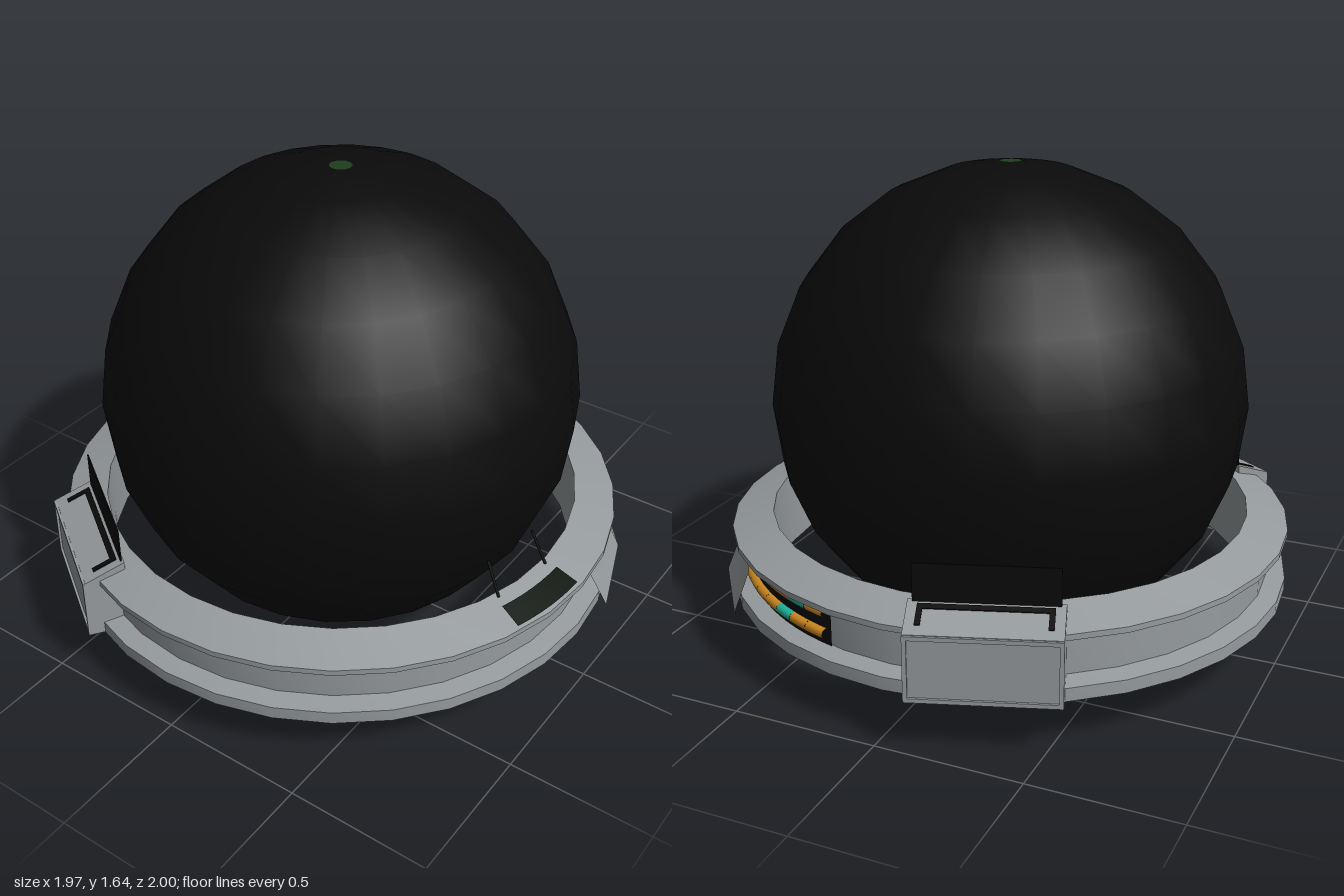
import * as THREE from 'three';
import { toCreasedNormals } from 'three/addons/utils/BufferGeometryUtils.js';

const deg = THREE.MathUtils.degToRad;
const V2 = (x, y) => new THREE.Vector2(x, y);
// Point on a circle about the y axis; the angle runs from +z towards +x.
const polar = (r, a, y) => new THREE.Vector3(r * Math.sin(deg(a)), y, r * Math.cos(deg(a)));

function makeMaterial(name, color, double = false) {
  const m = new THREE.MeshStandardMaterial({ color });
  m.name = name;
  if (double) m.side = THREE.DoubleSide;
  return m;
}

export function createModel() {
  const grey = makeMaterial('metalGrey', 0x969b9e, true);
  const black = makeMaterial('black', 0x0a0a0a, true);
  const green = makeMaterial('darkGreen', 0x1f3d1f, true);
  const darkGreen = makeMaterial('greenBlack', 0x0a120a, true);
  const orange = makeMaterial('wireOrange', 0xd08a20);
  const teal = makeMaterial('wireTeal', 0x20b8a0);

  const model = new THREE.Group();
  model.name = 'ringedSphere';
  const body = new THREE.Group();
  body.name = 'body';
  body.position.set(-0.012, 0, 0.014);
  model.add(body);

  const add = (parent, name, geometry, material, x = 0, y = 0, z = 0) => {
    const mesh = new THREE.Mesh(geometry, material);
    mesh.name = name;
    mesh.position.set(x, y, z);
    parent.add(mesh);
    return mesh;
  };

  // Dark globe with a small spot at each pole
  add(body, 'globe', new THREE.SphereGeometry(0.82, 24, 12), black, 0, 0.823, 0);
  for (const s of [1, -1]) {
    const spot = add(body, s > 0 ? 'topSpot' : 'bottomSpot', new THREE.CircleGeometry(0.04, 10), green, 0, 0.823 + s * 0.8215, 0);
    spot.rotation.x = -s * Math.PI / 2;
  }

  // Flanged ring with a recessed web
  const profile = [
    [0.835, 0.18], [0.977, 0.18], [0.977, 0.225], [0.912, 0.236], [0.912, 0.385],
    [0.977, 0.385], [0.977, 0.405], [0.835, 0.45], [0.835, 0.18],
  ].map(([r, y]) => V2(r, y));
  add(body, 'ring', toCreasedNormals(new THREE.LatheGeometry(profile, 32), deg(14)), grey);

  // Two console boxes, each with a framed face, a slot and an upright screen
  function console_(name, angle) {
    const g = new THREE.Group();
    g.name = name;
    g.position.copy(polar(0.927, angle, 0));
    g.rotation.y = deg(angle);
    const L = 0.485, D = 0.072, front = D - 0.008;
    const side = new THREE.Shape([V2(-D, 0.18), V2(front, 0.184), V2(front, 0.408), V2(-D, 0.46)]);
    const geo = new THREE.ExtrudeGeometry(side, { depth: L, bevelEnabled: false });
    geo.rotateY(-Math.PI / 2).translate(L / 2, 0, 0);
    add(g, 'consoleBox', geo, grey);

    const rect = (P, w, y0, y1) => new P().setFromPoints([V2(-w, y0), V2(w, y0), V2(w, y1), V2(-w, y1)]);
    const frame = rect(THREE.Shape, L / 2, 0.184, 0.406);
    frame.holes.push(rect(THREE.Path, L / 2 - 0.014, 0.198, 0.392));
    add(g, 'faceFrame', new THREE.ExtrudeGeometry(frame, { depth: 0.008, bevelEnabled: false }), grey, 0, 0, front);

    const lid = new THREE.Group();
    lid.name = 'slot';
    lid.position.set(0, 0.434, -0.004);
    lid.rotation.x = Math.atan2(0.052, 0.136);
    add(lid, 'slotBar', new THREE.BoxGeometry(0.42, 0.006, 0.02), black, 0, 0.001, -0.042);
    for (const s of [1, -1])
      add(lid, 'slotEnd', new THREE.BoxGeometry(0.018, 0.006, 0.08), black, s * 0.201, 0.001, -0.006);
    g.add(lid);
    add(g, 'screen', new THREE.BoxGeometry(0.455, 0.135, 0.005), black, 0, 0.515, -0.064);
    body.add(g);
  }
  console_('frontConsole', -34);
  console_('backConsole', -161);

  // Curved dark strip on the ring top with two leaning posts
  add(body, 'topStrip', new THREE.LatheGeometry([V2(0.965, 0.414), V2(0.885, 0.439)], 6, deg(71), deg(18)), darkGreen);
  for (const a of [72, 88]) {
    const rod = new THREE.LineCurve3(polar(0.85, a, 0.445), polar(0.79, a, 0.555));
    add(body, 'post', new THREE.TubeGeometry(rod, 1, 0.005, 5), darkGreen);
  }

  // Open compartment in the web with two banded wires
  add(body, 'compartment', new THREE.LatheGeometry([V2(0.918, 0.238), V2(0.918, 0.384)], 10, deg(129), deg(37)), black);
  [0.355, 0.28].forEach((y, row) => {
    const bands = 7, step = 35 / bands;
    for (let i = 0; i < bands; i++) {
      const pts = [0, 0.5, 1].map((t) => polar(0.926, 130 + (i + t) * step, y));
      const isTeal = row === 0 ? i === 2 || i === 5 : i === 4;
      add(body, 'wire', new THREE.TubeGeometry(new THREE.CatmullRomCurve3(pts), 4, 0.018, 8), isTeal ? teal : orange);
    }
  });

  // Bent access panel flaring outwards at its lower edge
  const columns = [[98.5, 100.5, 0.325, 0.183], [117, 118.5, 0.345, 0.2], [136, 136.5, 0.322, 0.18]];
  const points = columns.flatMap(([aTop, aLow, top, low]) =>
    [...polar(0.95, aTop, top).toArray(), ...polar(1.01, aLow, low).toArray()]);
  const panel = new THREE.BufferGeometry();
  panel.setAttribute('position', new THREE.Float32BufferAttribute(points, 3));
  panel.setIndex([0, 1, 3, 0, 3, 2, 2, 3, 5, 2, 5, 4]);
  add(body, 'accessPanel', toCreasedNormals(panel, deg(10)), grey);

  return model;
}
